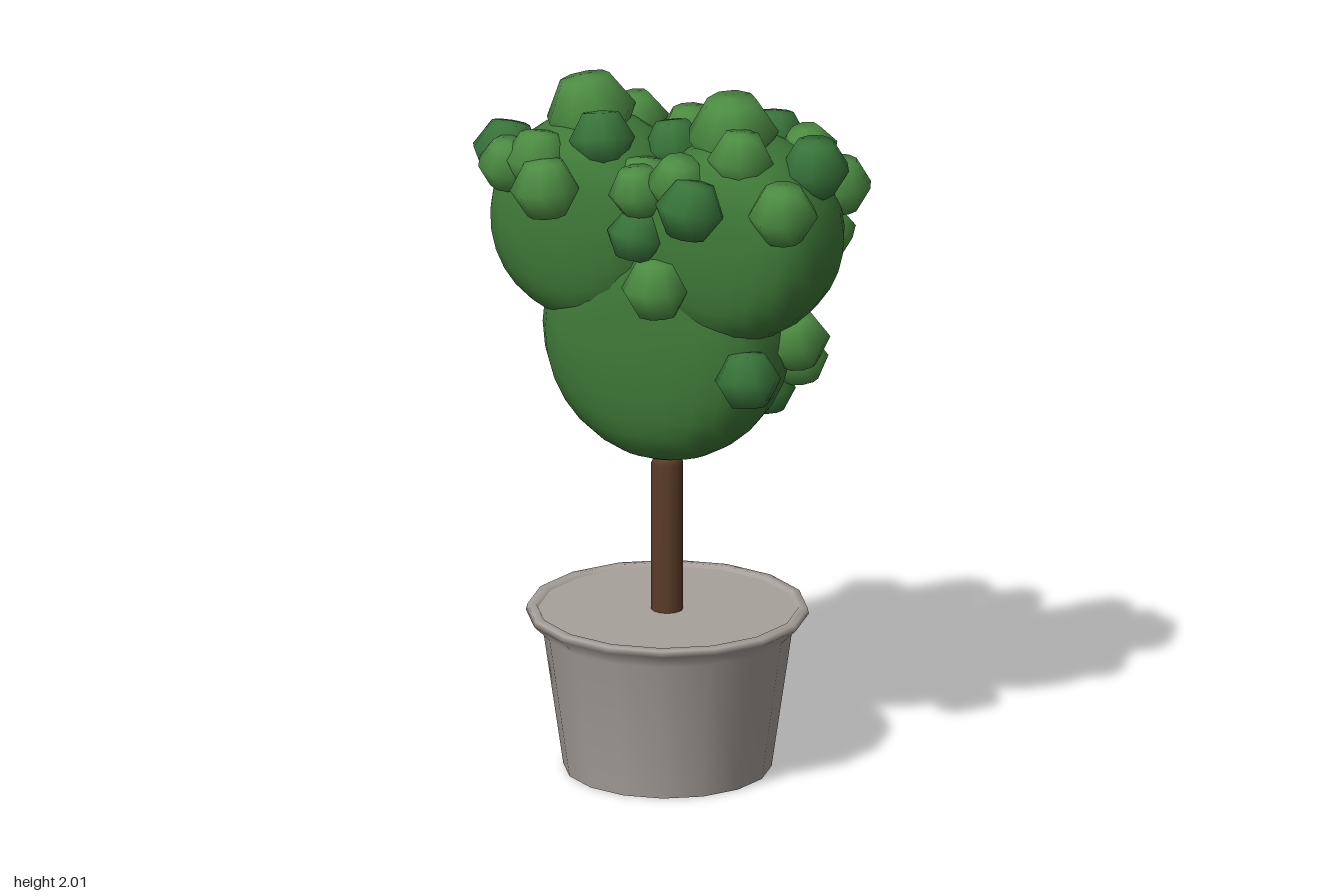
import * as THREE from 'three';

const mat = (color) => new THREE.MeshStandardMaterial({ color });
const leaf = mat(0x3f7a38), leafLight = mat(0x4c8c42), leafDark = mat(0x38743a);
const stone = mat(0xa8a19b), bark = mat(0x5c3c28);
stone.side = THREE.DoubleSide;

const lathe = (pts, sides) => new THREE.LatheGeometry(pts.map(([r, y]) => new THREE.Vector2(r, y)), sides);

export function createModel() {
  const model = new THREE.Group();
  const add = (name, geometry, material, x = 0, y = 0, z = 0) => {
    const mesh = new THREE.Mesh(geometry, material);
    mesh.name = name;
    mesh.position.set(x, y, z);
    model.add(mesh);
    return mesh;
  };

  // Tapered pot with flared lip, closed base and soil just inside the rim
  add('pot', lathe([[0.293, 0], [0.352, 0.41], [0.398, 0.455], [0.394, 0.472], [0.37, 0.474], [0.36, 0.46]], 16), stone, 0.007);
  add('potBase', new THREE.CircleGeometry(0.293, 16).rotateX(Math.PI / 2), stone, 0.007);
  add('soil', new THREE.CircleGeometry(0.364, 16).rotateX(-Math.PI / 2), stone, 0.007, 0.464);

  // Trunk with a slightly rounded top
  add('trunk', lathe([[0.045, 0.44], [0.045, 0.9], [0.036, 0.918], [0, 0.93]], 12), bark, 0.006);

  // Heart-shaped crown: three ellipsoids with flattened front and back
  const ellipsoid = (rx, ry, rz) => {
    const g = new THREE.SphereGeometry(1, 24, 16);
    const p = g.attributes.position;
    for (let i = 0; i < p.count; i++) {
      const z = Math.tanh(1.5 * p.getZ(i)) / Math.tanh(1.5);
      p.setXYZ(i, p.getX(i) * rx, p.getY(i) * ry, z * rz);
    }
    g.computeVertexNormals();
    return g;
  };
  add('crownBase', ellipsoid(0.36, 0.375, 0.205), leaf, 0.007, 1.295, 0);
  for (const s of [-1, 1]) {
    add(s < 0 ? 'crownLobeRight' : 'crownLobeLeft', ellipsoid(0.285, 0.295, 0.22), leaf, 0.007 + s * 0.23, 1.605, 0)
      .rotation.z = s * -0.15;
  }

  // Leaf clumps: x, y, z, radius
  const clumps = [
    [-0.24, 1.9, -0.02, 0.13], [0.2, 1.9, -0.02, 0.13],
    [-0.15, 1.87, 0.1, 0.095], [0.28, 1.87, 0.1, 0.095],
    [-0.26, 1.75, 0.24, 0.1], [0.19, 1.75, 0.24, 0.1],
    [-0.32, 1.8, 0.16, 0.1], [0.12, 1.8, 0.17, 0.09],
    [-0.45, 1.79, 0.09, 0.1], [-0.41, 1.78, 0.17, 0.085],
    [0.44, 1.75, 0.16, 0.1], [0.45, 1.83, -0.03, 0.1],
    [0.45, 1.73, -0.19, 0.095], [0.37, 1.83, -0.16, 0.085],
    [0.25, 1.84, -0.19, 0.095], [-0.18, 1.83, -0.19, 0.095],
    [-0.01, 1.82, -0.19, 0.09], [0, 1.82, -0.06, 0.09],
    [-0.02, 1.75, 0.1, 0.095], [0, 1.76, 0.18, 0.085],
    [0, 1.63, 0.19, 0.085], [0.07, 1.49, 0.21, 0.1],
    [-0.37, 1.63, -0.235, 0.1], [-0.12, 1.49, -0.215, 0.09],
    [0.07, 1.62, -0.23, 0.095], [0.02, 1.69, -0.15, 0.08],
    [0, 1.55, -0.16, 0.08], [0.28, 1.38, -0.17, 0.08],
    [0.41, 1.59, -0.18, 0.09], [0.33, 1.24, 0.16, 0.095],
    [0.38, 1.3, -0.06, 0.095], [0.33, 1.2, -0.18, 0.085], [0.22, 1.09, -0.2, 0.085],
  ];
  const clumpShape = lathe([[0, -0.86], [0.55, -0.8], [1, 0], [0.55, 0.8], [0, 0.86]], 9);
  clumps.forEach(([x, y, z, r], i) => {
    const clump = add('leafClump' + (i + 1), clumpShape, i % 3 === 2 ? leafDark : leafLight, x, y, z);
    clump.scale.set(r, r * 0.97, r);
    clump.rotation.set(0.15 * Math.sin(i * 2.1), i * 1.3, 0.2 * Math.cos(i * 1.7));
  });

  return model;
}
